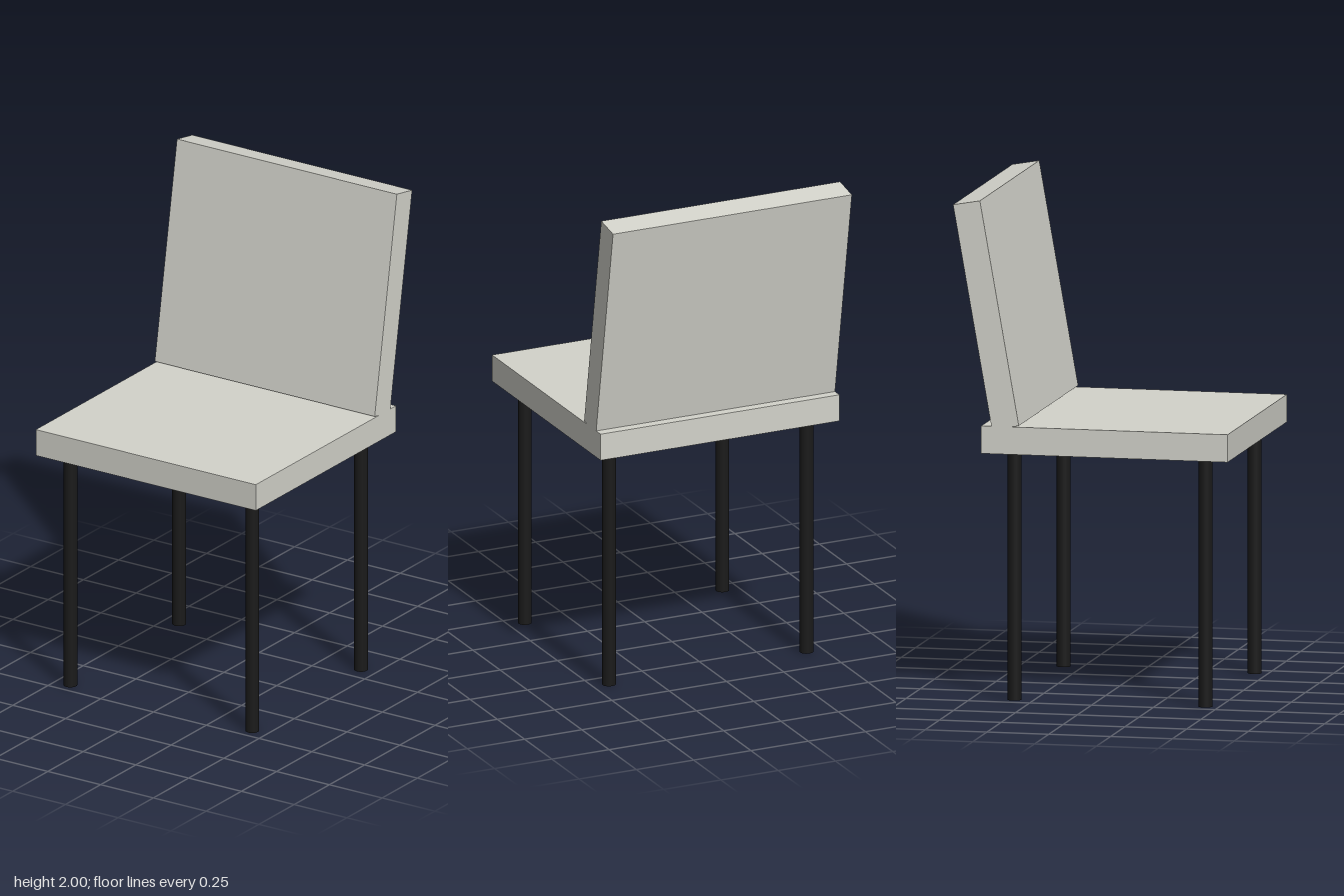
import * as THREE from 'three';

export function createModel() {
  const group = new THREE.Group();
  const cushion = new THREE.MeshStandardMaterial({ color: 0xd3d3cb });
  const dark = new THREE.MeshStandardMaterial({ color: 0x1a1a1a });

  const add = (name, geometry, material, x, y, z) => {
    const mesh = new THREE.Mesh(geometry, material);
    mesh.name = name;
    mesh.position.set(x, y, z);
    group.add(mesh);
    return mesh;
  };

  const width = 1.042, thickness = 0.11;
  const seatBottom = 0.992;

  // Flat seat slab
  add('seat', new THREE.BoxGeometry(width, thickness, 0.996), cushion,
    0, seatBottom + thickness / 2, 0.057);

  // Backrest slab, leaning back 10 degrees with its lower edge sunk into the seat
  const backrest = add('backrest', new THREE.BoxGeometry(width, 0.906, thickness), cushion,
    0, 1.544, -0.422);
  backrest.rotation.x = -THREE.MathUtils.degToRad(10);

  // Four straight round legs
  const legGeometry = new THREE.CylinderGeometry(0.0275, 0.0275, seatBottom, 24);
  for (const [end, z] of [['front', 0.445], ['back', -0.327]]) {
    for (const [side, x] of [['Left', 0.431], ['Right', -0.431]]) {
      add(`${end}${side}Leg`, legGeometry, dark, x, seatBottom / 2, z);
    }
  }

  return group;
}
